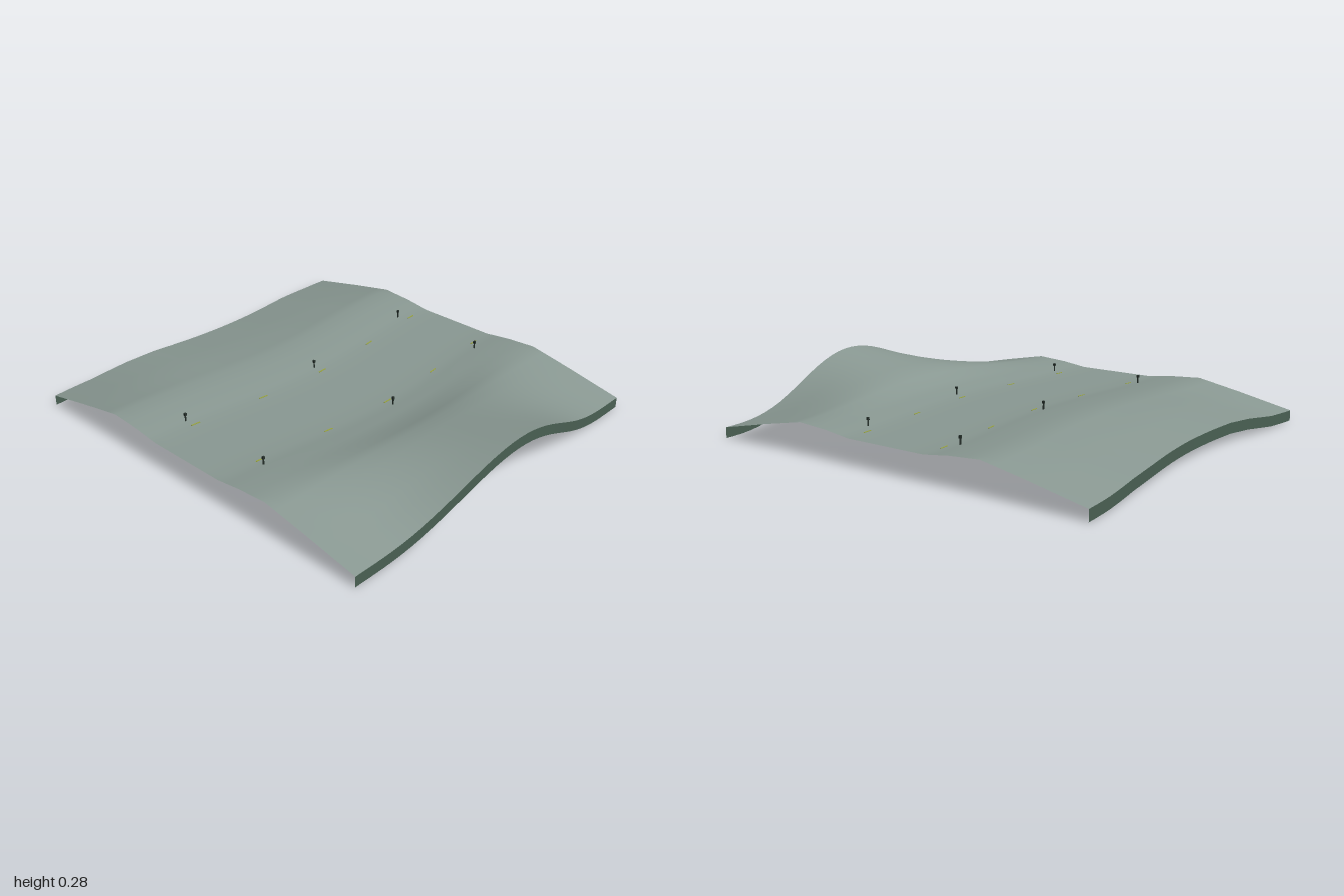
import * as THREE from 'three';

const HALF_W = 0.9625, HALF_L = 0.9, SKIRT = 0.05;
const lerp = THREE.MathUtils.lerp;

// Piecewise-linear lookup through [position, value] pairs
function sample(pairs, t) {
  for (let i = 1; i < pairs.length; i++) {
    const [a, va] = pairs[i - 1], [b, vb] = pairs[i];
    if (t <= b) return lerp(va, vb, Math.max(0, (t - a) / (b - a)));
  }
  return pairs[pairs.length - 1][1];
}

// Cross-sections of the land, from the valley floor out to the edge
const END = [[0, 0.125], [0.2, 0.125], [0.33, 0.142], [0.48, 0.152], [0.7, 0.11], [HALF_W, 0.055]];
const HILL = [[0, 0.125], [0.2, 0.125], [0.3, 0.138], [0.4, 0.155], [0.53, 0.205], [0.72, 0.237], [HALF_W, 0.28]];
const LOW = [[0, 0.125], [0.2, 0.125], [0.33, 0.142], [0.48, 0.153], [0.7, 0.134], [HALF_W, 0.1]];
// How far the low side lifts along z
const LIFT = [[-0.9, 0], [-0.75, 0.12], [-0.55, 0.4], [-0.35, 0.48], [0, 0.78], [0.2, 0.92],
  [0.35, 1], [0.5, 0.8], [0.7, 0.25], [0.9, 0]];

// Sideways meander of the whole strip
const bend = z => 0.0375 * Math.cos(Math.PI * z / HALF_L);

function height(u, z) {
  const a = Math.abs(u);
  if (u < 0) return lerp(sample(END, a), sample(LOW, a), sample(LIFT, z));
  const c = 0.5 + 0.5 * Math.cos(Math.PI * z / HALF_L);
  const power = lerp(0.85, 1.4, THREE.MathUtils.smoothstep(a, 0.5, HALF_W));
  return lerp(sample(END, a), sample(HILL, a), Math.pow(c, power));
}

// Grid surface from point(i, j)
function grid(nu, nv, point) {
  const pos = [], index = [];
  for (let j = 0; j <= nv; j++) for (let i = 0; i <= nu; i++) pos.push(...point(i, j));
  for (let j = 0; j < nv; j++) for (let i = 0; i < nu; i++) {
    const a = j * (nu + 1) + i, b = a + nu + 1;
    index.push(a, b, a + 1, b, b + 1, a + 1);
  }
  const g = new THREE.BufferGeometry();
  g.setAttribute('position', new THREE.Float32BufferAttribute(pos, 3));
  g.setIndex(index);
  g.computeVertexNormals();
  return g;
}

export function createModel() {
  const model = new THREE.Group();
  const make = (name, color, side = THREE.FrontSide) => {
    const m = new THREE.MeshStandardMaterial({ color, side });
    m.name = name;
    return m;
  };
  const ground = make('grey green ground', 0x8a9993, THREE.DoubleSide);
  const bank = make('dark green bank', 0x4a6053, THREE.DoubleSide);
  const dark = make('dark post', 0x26302b);
  const yellow = make('olive yellow marking', 0x9aa53c);
  const add = (name, geometry, material, parent = model) => {
    const mesh = new THREE.Mesh(geometry, material);
    mesh.name = name;
    parent.add(mesh);
    return mesh;
  };

  // Rolling land with a flat valley floor
  const half = [0.1, 0.2, 0.26, 0.33, 0.4, 0.48, 0.54, 0.62, 0.7, 0.78, 0.87, HALF_W];
  const us = [...half.map(u => -u).reverse(), 0, ...half];
  const nz = 36;
  const zAt = j => lerp(-HALF_L, HALF_L, j / nz);
  add('land', grid(us.length - 1, nz, (i, j) => {
    const z = zAt(j);
    return [us[i] + bend(z), height(us[i], z), z];
  }), ground);

  // Vertical banks hanging from the two long edges
  for (const s of [-1, 1]) {
    add(s > 0 ? 'leftBank' : 'rightBank', grid(1, nz, (i, j) => {
      const z = zAt(j), down = s > 0 ? i : 1 - i;
      return [s * HALF_W + bend(z), height(s * HALF_W, z) - down * SKIRT, z];
    }), bank);
  }

  // Marker posts with small caps, on both sides of the valley floor
  const shaft = new THREE.CylinderGeometry(0.0035, 0.0035, 0.05, 8);
  const cap = new THREE.BoxGeometry(0.01, 0.012, 0.01);
  for (const z of [-0.72, -0.035, 0.7]) for (const s of [-1, 1]) {
    const post = new THREE.Group();
    post.name = 'markerPost';
    add('postShaft', shaft, dark, post).position.y = 0.02;
    add('postCap', cap, dark, post).position.y = 0.039;
    post.position.set(s * 0.25 + bend(z), 0.125, z);
    model.add(post);
  }

  // Painted edge dashes following the meander
  const dash = new THREE.BoxGeometry(0.006, 0.002, 0.045);
  for (let k = 0; k < 5; k++) for (const s of [-1, 1]) {
    const z = -0.775 + k * 0.364, u = s * 0.207;
    const mesh = add('edgeDash', dash, yellow);
    mesh.position.set(u + bend(z), height(u, z) + 0.001, z);
    mesh.rotation.y = Math.atan2(bend(z + 0.01) - bend(z - 0.01), 0.02);
  }
  return model;
}
